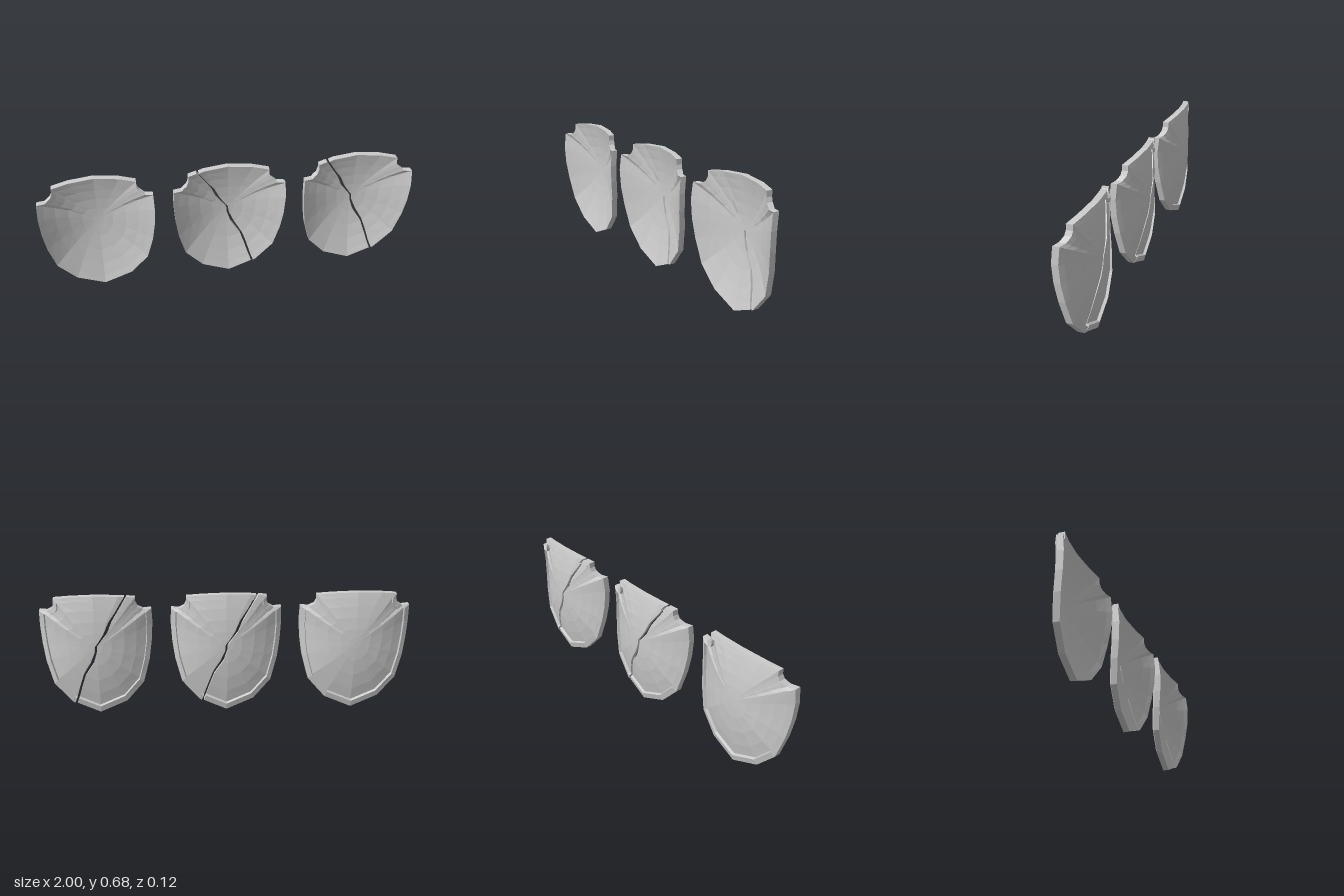
import * as THREE from 'three';

// Right half of the rim, bottom to top: x, y, z of the front edge
const HALF = [
  [0, 0, 0.01], [0.15, 0.063, 0.018], [0.245, 0.17, 0.03], [0.28, 0.3, 0.046],
  [0.294, 0.4, 0.058], [0.3, 0.5, 0.062], [0.297, 0.588, 0.053], [0.255, 0.587, 0.042],
  [0.24, 0.597, 0.034], [0.225, 0.607, 0.028], [0.215, 0.63, 0.024], [0.215, 0.66, 0.023],
  [0.13, 0.672, 0.003], [0, 0.68, -0.01],
];
const LEFT_HALF = HALF.slice(1, -1).reverse().map(([x, y, z]) => [-x, y, z]);
const CENTRE_Y = 0.4, CENTRE_Z = -0.042;

// Section from the middle of the front face, round the rim, to the middle of the back:
// [share of the distance to the edge, thickness]
const LEVELS = [0, 0.1, 0.27, 0.5, 0.72, 0.895, 0.91, 1];
const SECTION = [
  ...LEVELS.map((s) => [s, 0]),
  [1, 0.034], [0.91, 0.034],
  ...LEVELS.slice(0, 6).reverse().map((s) => [s, 0.018]),
];

// Jagged crack: sideways shift and half gap at each level
const CRACK_TOP = { end: [-0.165, 0.667, 0.012], shift: [0, -0.004, -0.008, 0.003, 0, 0, 0, 0] };
const CRACK_LOW = { end: [0.132, 0.0554, 0.017], shift: [0, -0.01, -0.01, 0.01, 0.005, 0, 0, 0] };
const GAP = [0.006, 0.006, 0.009, 0.008, 0.006, 0.006, 0.006, 0.006];

// One section through the shell, from the centre out to an edge point
function column(edge, cx = 0, crack = null, side = 0) {
  return SECTION.map(([s, depth]) => {
    const z = edge[2] + (CENTRE_Z - edge[2]) * (1 - s * s) - depth;
    const y = CENTRE_Y + s * (edge[1] - CENTRE_Y);
    if (!crack) return [cx + s * (edge[0] - cx), y, z];
    const k = LEVELS.indexOf(s);
    return [s * edge[0] + crack.shift[k] + side * GAP[k], y, z];
  });
}

// Skin neighbouring columns; an open run also gets its two broken faces
function shell(name, columns, closed) {
  const pos = [];
  const quad = (a, b, c, d) => pos.push(...a, ...b, ...c, ...a, ...c, ...d);
  const n = columns.length, last = SECTION.length - 1;
  for (let j = 0; j < (closed ? n : n - 1); j++) {
    const p = columns[j], q = columns[(j + 1) % n];
    for (let k = 0; k < last; k++) quad(p[k], p[k + 1], q[k + 1], q[k]);
  }
  if (!closed) {
    const p = columns[0], q = columns[n - 1];
    for (let k = 0; k < LEVELS.length - 1; k++) {
      quad(q[k], q[k + 1], q[last - k - 1], q[last - k]);
      quad(p[last - k], p[last - k - 1], p[k + 1], p[k]);
    }
  }
  const geo = new THREE.BufferGeometry();
  geo.setAttribute('position', new THREE.Float32BufferAttribute(pos, 3));
  geo.computeVertexNormals();
  const mesh = new THREE.Mesh(geo, new THREE.MeshStandardMaterial({ color: 0xcccccc, flatShading: true }));
  mesh.name = name;
  return mesh;
}

function wholeShield() {
  return shell('wholeShield', [...HALF, ...LEFT_HALF].map((e) => column(e)), true);
}

function splitShield(name) {
  const group = new THREE.Group();
  group.name = name;
  const piece = (label, side, from, edges, to) => shell(label, [
    column(from.end, 0, from, side),
    ...edges.map((e) => column(e, side * GAP[0])),
    column(to.end, 0, to, side),
  ], false);
  group.add(
    piece('leftPiece', 1, CRACK_LOW, [...HALF.slice(1), [-0.13, 0.672, 0.003]], CRACK_TOP),
    piece('rightPiece', -1, CRACK_TOP, [...LEFT_HALF.slice(1), HALF[0]], CRACK_LOW),
  );
  return group;
}

export function createModel() {
  const model = new THREE.Group();
  model.name = 'shields';
  const shields = [wholeShield(), splitShield('splitShieldMiddle'), splitShield('splitShieldEnd')];
  shields.forEach((shield, i) => {
    shield.position.x = (i - 1) * 0.7;
    model.add(shield);
  });
  return model;
}
